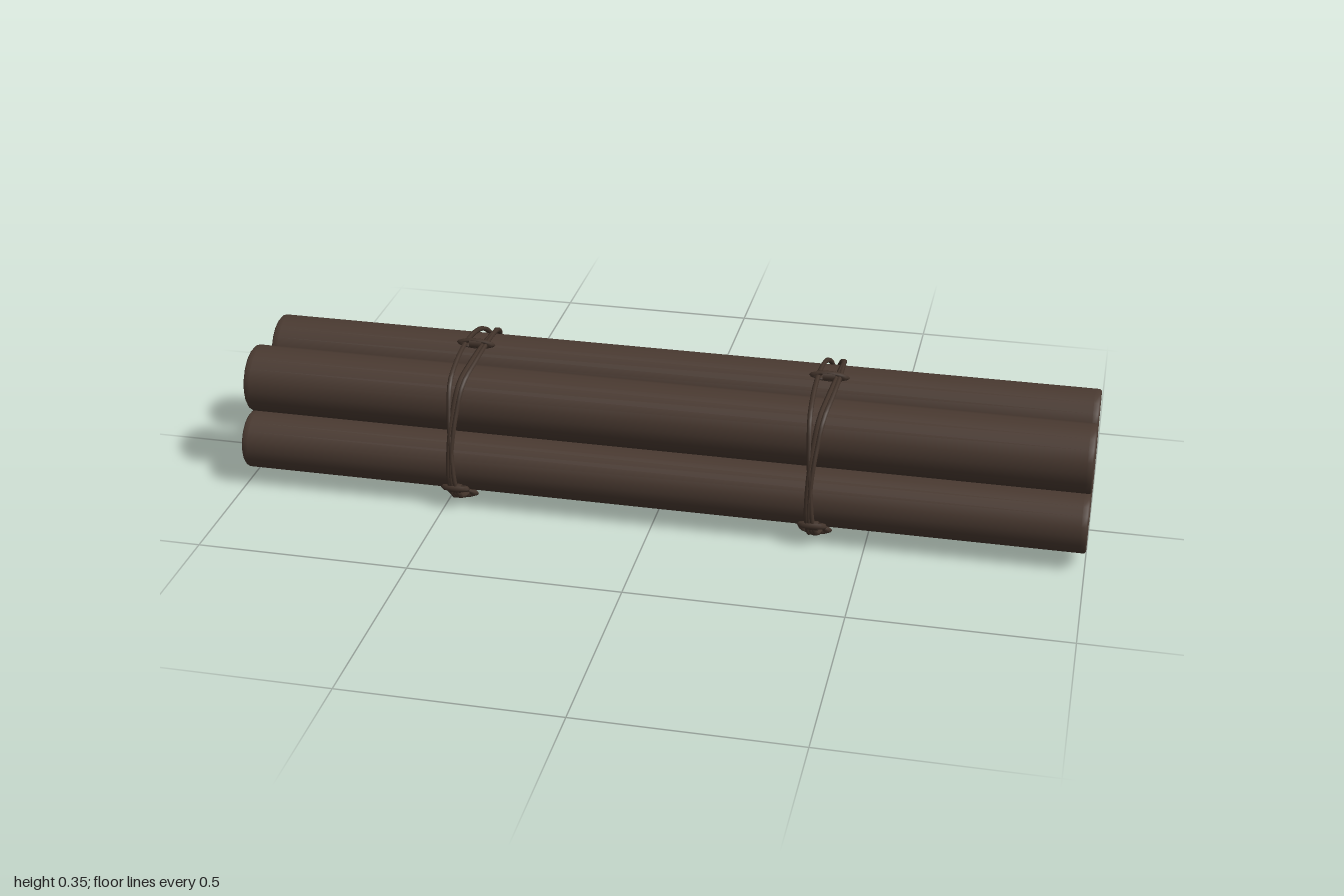
import * as THREE from 'three';

const wood = new THREE.MeshStandardMaterial({ color: 0x4a3a31 });
wood.name = 'dark brown wood';
const cord = new THREE.MeshStandardMaterial({ color: 0x43342b });
cord.name = 'dark brown cord';

// Hollow pole along x with softly rounded rims
function makePole(name, y, z, r) {
  const w = 0.015, e = 0.004, i = r - w;
  const half = [
    [r, 0.985], [r, 1 - e], [r - e, 1], [i + e, 1], [i, 1 - e], [i, 0.985],
  ];
  const profile = [
    ...half,
    ...half.map(([a, b]) => [a, -b]).reverse(),
    half[0],
  ].map(([a, b]) => new THREE.Vector2(a, b));
  const geo = new THREE.LatheGeometry(profile, 18);
  geo.rotateZ(-Math.PI / 2);
  const pole = new THREE.Mesh(geo, wood);
  pole.name = name;
  pole.position.set(0, y, z);
  return pole;
}

// Outline of the binding around the bundle, as [z, y]
const outline = [
  [0, 0.335], [0.08, 0.325], [0.15, 0.3], [0.186, 0.23], [0.207, 0.15], [0.214, 0.07],
  [0.195, 0.028], [0.15, 0.014], [0.05, 0.01], [-0.05, 0.007], [-0.15, 0.013],
  [-0.2, 0.042], [-0.216, 0.075], [-0.209, 0.14], [-0.196, 0.22], [-0.175, 0.28],
  [-0.14, 0.31], [-0.085, 0.328],
];

// One strand of the binding; the sideways shift makes the strands cross
function makeStrand(shift) {
  const pts = outline.map(([z, y], k) =>
    new THREE.Vector3(shift(k / outline.length * Math.PI * 2), y, z));
  const curve = new THREE.CatmullRomCurve3(pts, true);
  const strand = new THREE.Mesh(new THREE.TubeGeometry(curve, 72, 0.006, 6, true), cord);
  strand.name = 'cordStrand';
  return strand;
}

// Knot: a stretched loop of cord with a small wrap at its middle
function makeKnot(z, y, angle, length) {
  const knot = new THREE.Group();
  knot.name = 'knot';
  const loop = new THREE.Mesh(new THREE.TorusGeometry(0.011, 0.005, 6, 14), cord);
  loop.name = 'knotLoop';
  loop.scale.set(length / 0.016, 0.8, 1.4);
  const wrap = new THREE.Mesh(new THREE.CylinderGeometry(0.011, 0.011, 0.03, 8), cord);
  wrap.name = 'knotWrap';
  wrap.rotation.z = Math.PI / 2;
  knot.add(loop, wrap);
  knot.position.set(0, y, z);
  knot.rotation.x = angle;
  return knot;
}

function makeBinding(name, x) {
  const binding = new THREE.Group();
  binding.name = name;
  binding.add(
    makeStrand((t) => 0.02 * Math.cos(1.5 * t + 0.5) * Math.cos(t / 2)),
    makeStrand((t) => -0.022 * Math.cos(t) - 0.004),
    makeStrand((t) => 0.016 * Math.cos(2 * t) + 0.008),
    makeKnot(0, 0.336, 0, 0.048),
    makeKnot(0.154, 0.016, 0.1, 0.04),
    makeKnot(0.21, 0.056, 1.3, 0.036),
    makeKnot(-0.211, 0.06, -1.2, 0.036),
    makeKnot(-0.146, 0.019, -0.2, 0.036),
  );
  binding.position.x = x;
  return binding;
}

export function createModel() {
  const model = new THREE.Group();
  model.name = 'poleBundle';
  model.add(
    makePole('upperFrontPole', 0.236, 0.092, 0.08),
    makePole('upperBackPole', 0.237, -0.092, 0.077),
    makePole('lowerFrontPole', 0.099, 0.145, 0.069),
    makePole('lowerMiddlePole', 0.097, 0.002, 0.077),
    makePole('lowerBackPole', 0.099, -0.146, 0.069),
    makeBinding('rightBinding', -0.47),
    makeBinding('leftBinding', 0.38),
  );
  return model;
}
